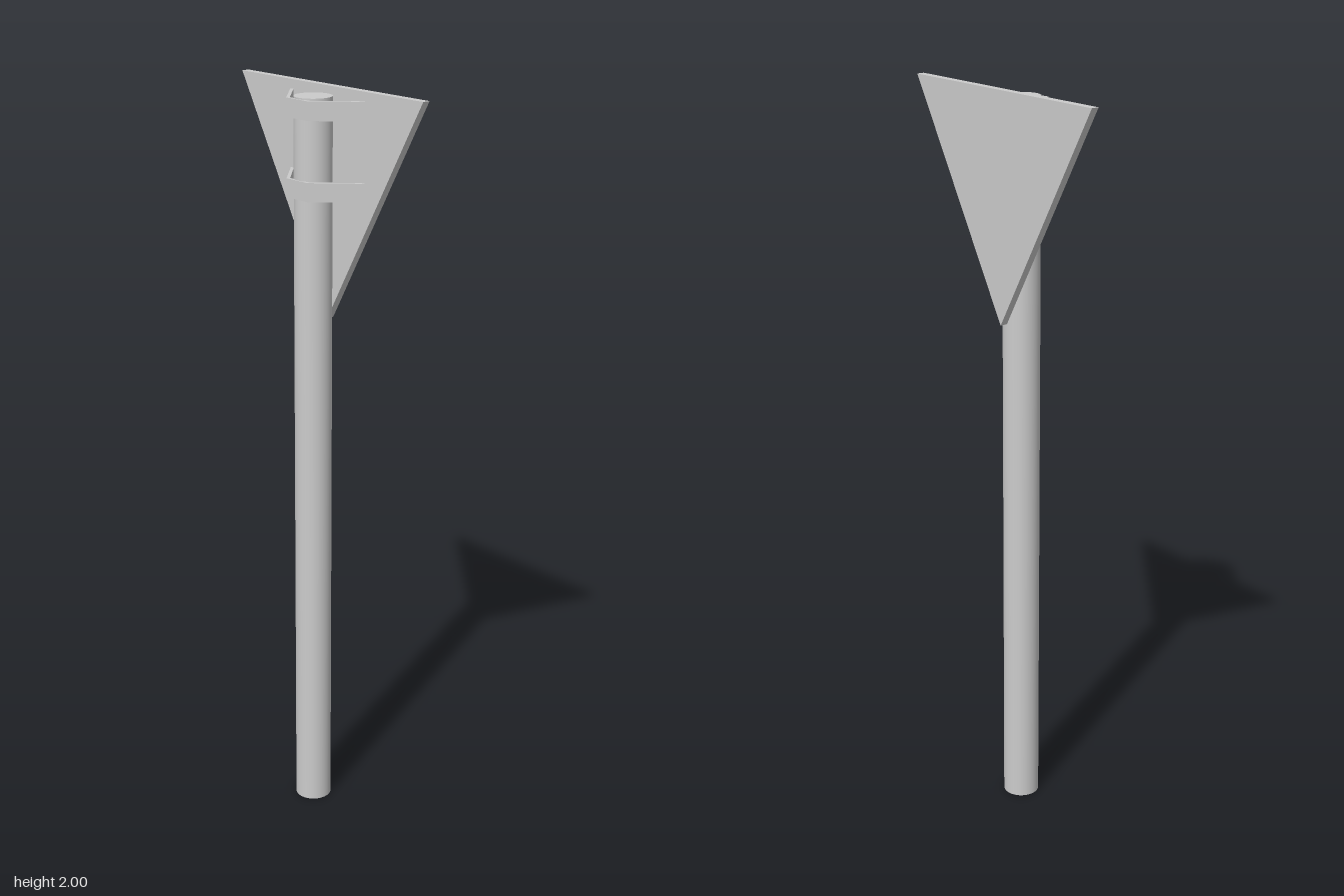
import * as THREE from 'three';

export function createModel() {
  const group = new THREE.Group();
  const material = new THREE.MeshStandardMaterial({ color: 0xcccccc });

  const add = (name, geometry, x, y, z) => {
    const mesh = new THREE.Mesh(geometry, material);
    mesh.name = name;
    mesh.position.set(x, y, z);
    group.add(mesh);
  };
  const extrude = (points, depth) => new THREE.ExtrudeGeometry(
    new THREE.Shape(points.map(([x, y]) => new THREE.Vector2(x, y))),
    { depth, bevelEnabled: false });

  // Round post
  const postHeight = 1.98;
  add('post', new THREE.CylinderGeometry(0.049, 0.049, postHeight, 48), 0, postHeight / 2, 0.007);

  // Triangular plate, point down, behind the post
  add('signPlate', extrude([[-0.335, 2], [0, 1.4], [0.335, 2]], 0.021), 0, 0, -0.063);

  // Bent straps holding the plate to the post, outlined from above (x, z)
  const outer = [[-0.14, -0.042], [-0.0395, 0.059], [0.0395, 0.059], [0.14, -0.042]];
  const inner = [[0.128, -0.042], [0.036, 0.05], [-0.036, 0.05], [-0.128, -0.042]];
  const strap = extrude([...outer, ...inner], 0.048).rotateX(Math.PI / 2);
  add('upperStrap', strap, -0.0025, 1.976, 0);
  add('lowerStrap', strap, -0.0025, 1.775, 0);

  return group;
}
